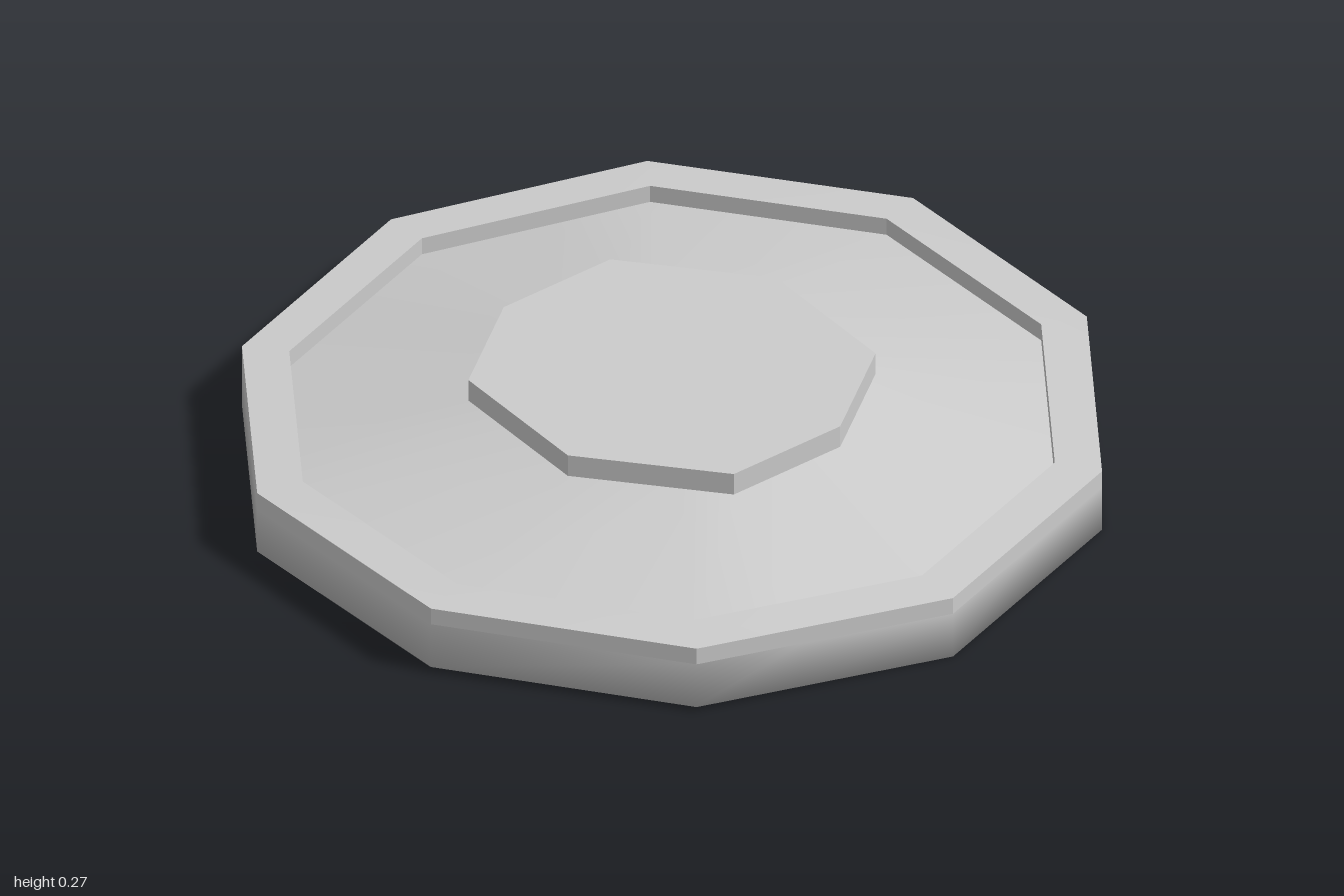
import * as THREE from 'three';
import { toCreasedNormals } from 'three/addons/utils/BufferGeometryUtils.js';

const material = new THREE.MeshStandardMaterial({ color: 0xcccccc });

// Outlines as [x, z], counterclockwise seen from above, starting at +z
const decagon = Array.from({ length: 10 }, (_, i) => [Math.sin(i * Math.PI / 5), Math.cos(i * Math.PI / 5)]);
const octagon = [[0, 0.432], [0.355, 0.294], [0.45, 0], [0.355, -0.294],
  [0, -0.432], [-0.355, -0.294], [-0.45, 0], [-0.355, 0.294]];

// Every corner direction of both outlines, so that they can be lofted together
const angleOf = ([x, z]) => (Math.atan2(x, z) + Math.PI * 2) % (Math.PI * 2);
const angles = [...decagon, ...octagon].map(angleOf).sort((a, b) => a - b)
  .filter((a, i, all) => i === 0 || a - all[i - 1] > 1e-4);

// Point where a ray from the centre meets an outline
function pointAt(outline, angle) {
  const dx = Math.sin(angle), dz = Math.cos(angle);
  for (let i = 0; i < outline.length; i++) {
    const [ax, az] = outline[i], [bx, bz] = outline[(i + 1) % outline.length];
    const ex = bx - ax, ez = bz - az;
    const den = dx * ez - dz * ex;
    const r = (ax * ez - az * ex) / den;
    const t = (ax * dz - az * dx) / den;
    if (r > 0 && t > -1e-6 && t < 1 + 1e-6) return [dx * r, dz * r];
  }
  return [0, 0];
}

// The disc rises slightly towards its front and back corners
const warp = (z) => 0.021 * Math.max(0, Math.abs(z) - 0.309);

function ring(outline, scale, y, warped = true) {
  return angles.map((a) => {
    const [x, z] = pointAt(outline, a);
    return [x * scale, y + (warped ? warp(z) : 0), z * scale];
  });
}
const centre = (y) => angles.map(() => [0, y, 0]);

function loft(rings) {
  const n = angles.length, index = [];
  const closed = (r) => Math.hypot(r[0][0], r[0][2]) < 1e-6;
  for (let k = 0; k < rings.length - 1; k++) {
    for (let j = 0; j < n; j++) {
      const a = k * n + j, b = k * n + (j + 1) % n;
      if (!closed(rings[k])) index.push(a, b, b + n);
      if (!closed(rings[k + 1])) index.push(a, b + n, a + n);
    }
  }
  const geometry = new THREE.BufferGeometry();
  geometry.setAttribute('position', new THREE.Float32BufferAttribute(rings.flat(2), 3));
  geometry.setIndex(index);
  geometry.computeVertexNormals();
  return geometry;
}

export function createModel() {
  const group = new THREE.Group();
  const add = (name, geometry) => {
    const mesh = new THREE.Mesh(geometry, material);
    mesh.name = name;
    group.add(mesh);
  };
  const crease = (rings) => toCreasedNormals(loft(rings), 0.5);

  // Deeply dished underside, shaded softly into the lower wall
  add('base', loft([
    centre(0.135), ring(octagon, 1.1, 0.125, false),
    ring(decagon, 1, 0), ring(decagon, 1, 0.115),
  ]));

  // Raised rim with its sharp outer band and inner step
  add('rim', crease([
    ring(decagon, 1, 0.115), ring(decagon, 1, 0.157),
    ring(decagon, 0.89, 0.162), ring(decagon, 0.89, 0.119),
  ]));

  // Sloping top between the rim and the raised centre
  add('slope', loft([ring(decagon, 0.89, 0.119), ring(octagon, 1, 0.215, false)]));

  // Flat eight-sided centre
  add('centrePlate', crease([
    ring(octagon, 1, 0.215, false), ring(octagon, 1, 0.27, false), centre(0.27),
  ]));
  return group;
}
